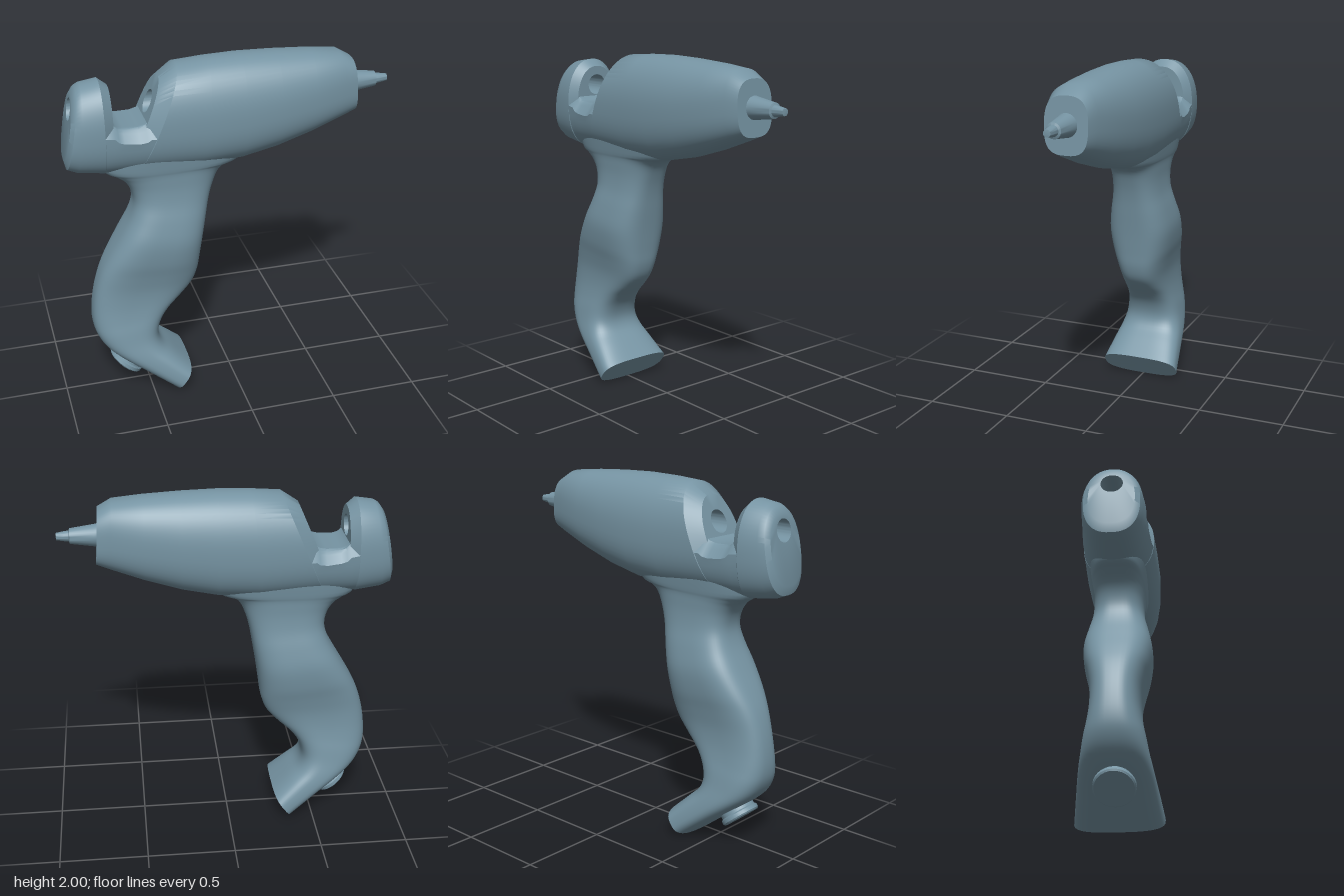
import * as THREE from 'three';
import { toCreasedNormals } from 'three/addons/utils/BufferGeometryUtils.js';

const SIDES = 56;

// Skins a list of closed rings (each an array of Vector3) into one surface.
function loft(rings, crease = 0.6) {
  const pos = [], index = [];
  rings.forEach((ring) => ring.forEach((p) => pos.push(p.x, p.y, p.z)));
  for (let s = 0; s < rings.length - 1; s++) {
    for (let i = 0; i < SIDES; i++) {
      const j = (i + 1) % SIDES;
      const a = s * SIDES + i, b = s * SIDES + j;
      index.push(a, b, a + SIDES, b, b + SIDES, a + SIDES);
    }
  }
  const geo = new THREE.BufferGeometry();
  geo.setAttribute('position', new THREE.Float32BufferAttribute(pos, 3));
  geo.setIndex(index);
  return toCreasedNormals(geo, crease);
}

const power = (v, n) => Math.sign(v) * Math.pow(Math.abs(v), 2 / n);
const ringOf = (fn) => Array.from({ length: SIDES }, (_, i) => {
  const a = (i / SIDES) * Math.PI * 2;
  return fn(Math.cos(a), Math.sin(a));
});

// Egg-shaped section across x, leaning by shear about height 1.78.
function section(x, shear, top, bottom, w, nTop = 2.2, nBottom = 2.5) {
  const mid = (top + bottom) / 2, h = (top - bottom) / 2;
  return ringOf((c, s) => {
    const n = c > 0 ? nTop : nBottom;
    const y = mid + h * power(c, n);
    return new THREE.Vector3(x + shear * (y - 1.78), y, w * power(s, n));
  });
}

// Round ring for the glue stick channel.
const hole = (x, shear, r, y = 1.78) => section(x, shear, y + r, y - r, r, 2, 2);

export function createModel() {
  const group = new THREE.Group();
  const shell = new THREE.MeshStandardMaterial({ color: 0x7694a3 });
  const add = (name, geo) => {
    const mesh = new THREE.Mesh(geo, shell);
    mesh.name = name;
    group.add(mesh);
    return mesh;
  };

  // Barrel with a blind channel in its slanted rear face
  add('barrel', loft([
    hole(-0.2, 0, 0.0001),
    hole(-0.2, 0, 0.06),
    hole(-0.45, 0.42, 0.06),
    section(-0.45, 0.42, 1.92, 1.46, 0.14),
    section(-0.38, 0.42, 1.983, 1.415, 0.198),
    section(-0.15, 0.1, 1.995, 1.4, 0.208),
    section(0.05, 0, 2.0, 1.415, 0.21),
    section(0.25, 0, 1.995, 1.457, 0.2),
    section(0.45, 0, 1.983, 1.52, 0.178, 2.3, 2.6),
    section(0.625, -0.06, 1.967, 1.59, 0.145, 2.5, 2.8),
    section(0.7, -0.06, 1.922, 1.62, 0.122, 2.7, 3),
    hole(0.7, -0.06, 0.0001),
  ]));

  // Rear guide block, pierced right through
  add('rearGuide', loft([
    hole(-0.872, 0.17, 0.06),
    section(-0.872, 0.17, 1.865, 1.5, 0.125),
    section(-0.853, 0.17, 1.9, 1.45, 0.152),
    section(-0.82, 0.1, 1.915, 1.428, 0.165),
    section(-0.71, 0, 1.93, 1.408, 0.175),
    section(-0.66, 0, 1.89, 1.45, 0.14),
    hole(-0.66, 0, 0.06),
    hole(-0.872, 0.17, 0.06),
  ]));

  // Loading notch floor with bevelled sides: [x, floor height, half width]
  const floor = [
    [-0.72, 1.715, 0.174], [-0.66, 1.715, 0.18], [-0.64, 1.697, 0.182],
    [-0.61, 1.69, 0.184], [-0.53, 1.69, 0.19], [-0.49, 1.7, 0.193],
    [-0.47, 1.715, 0.194], [-0.36, 1.715, 0.198],
  ];
  add('notchBridge', loft(floor.map(([x, cut, w]) => {
    const ring = section(x, 0, 1.97, 1.41, w);
    ring.forEach((p) => {
      p.y = Math.min(p.y, cut - Math.max(0, Math.abs(p.z) - 0.13) * 1.2);
    });
    return ring;
  })));

  // Handle: [back x, back y, front x, front y, half width]
  const grip = [
    [-0.74, 1.6, 0.15, 1.6, 0.172],
    [-0.72, 1.43, 0.06, 1.435, 0.148],
    [-0.66, 1.385, -0.02, 1.402, 0.14],
    [-0.61, 1.35, -0.07, 1.36, 0.137],
    [-0.57, 1.29, -0.105, 1.28, 0.136],
    [-0.555, 1.21, -0.13, 1.19, 0.145],
    [-0.58, 1.12, -0.15, 1.08, 0.168],
    [-0.64, 1.01, -0.17, 0.96, 0.185],
    [-0.71, 0.89, -0.187, 0.84, 0.174],
    [-0.76, 0.79, -0.2, 0.75, 0.152],
    [-0.795, 0.68, -0.23, 0.67, 0.135],
    [-0.815, 0.57, -0.29, 0.6, 0.133],
    [-0.82, 0.47, -0.365, 0.53, 0.142],
    [-0.805, 0.39, -0.42, 0.455, 0.157],
    [-0.76, 0.31, -0.445, 0.37, 0.172],
    [-0.68, 0.235, -0.425, 0.3, 0.19],
    [-0.55, 0.135, -0.36, 0.235, 0.21],
    [-0.38, 0.003, -0.27, 0.15, 0.235],
  ];
  const backCurve = new THREE.CatmullRomCurve3(
    grip.map((g) => new THREE.Vector3(g[0], g[1], g[4])), false, 'catmullrom', 0.5);
  const frontCurve = new THREE.CatmullRomCurve3(
    grip.map((g) => new THREE.Vector3(g[2], g[3], 0)), false, 'catmullrom', 0.5);
  const gripRing = (t, scale = 1) => {
    const b = backCurve.getPoint(t), f = frontCurve.getPoint(t);
    return ringOf((c, s) => {
      const k = 0.5 + 0.5 * scale * power(c, 3);
      return new THREE.Vector3(
        b.x + (f.x - b.x) * k, b.y + (f.y - b.y) * k, b.z * scale * power(s, 3));
    });
  };
  const steps = 68;
  const gripRings = [];
  for (let i = 0; i <= steps; i++) gripRings.push(gripRing(i / steps));
  gripRings.push(gripRing(1, 0.0001)); // flat foot
  add('handle', loft(gripRings, 0.8));

  // Stepped nozzle
  const lathe = (points) => toCreasedNormals(
    new THREE.LatheGeometry(points.map(([r, y]) => new THREE.Vector2(r, y)), 32), 0.6);
  const nozzle = add('nozzle', lathe([
    [0.064, 0], [0.06, 0.02], [0.042, 0.15], [0.03, 0.155],
    [0.027, 0.18], [0.02, 0.222], [0.0001, 0.225],
  ]));
  nozzle.rotation.z = -Math.PI / 2;
  nozzle.position.set(0.693, 1.772, 0);

  // Round cord outlet under the heel
  const outlet = add('cordOutlet', lathe([
    [0.1, -0.08], [0.1, 0.035], [0.11, 0.042], [0.11, 0.062], [0.102, 0.07], [0.0001, 0.07],
  ]));
  outlet.quaternion.setFromUnitVectors(
    new THREE.Vector3(0, 1, 0), new THREE.Vector3(-0.64, -0.77, 0).normalize());
  outlet.position.set(-0.6, 0.195, 0);

  return group;
}
